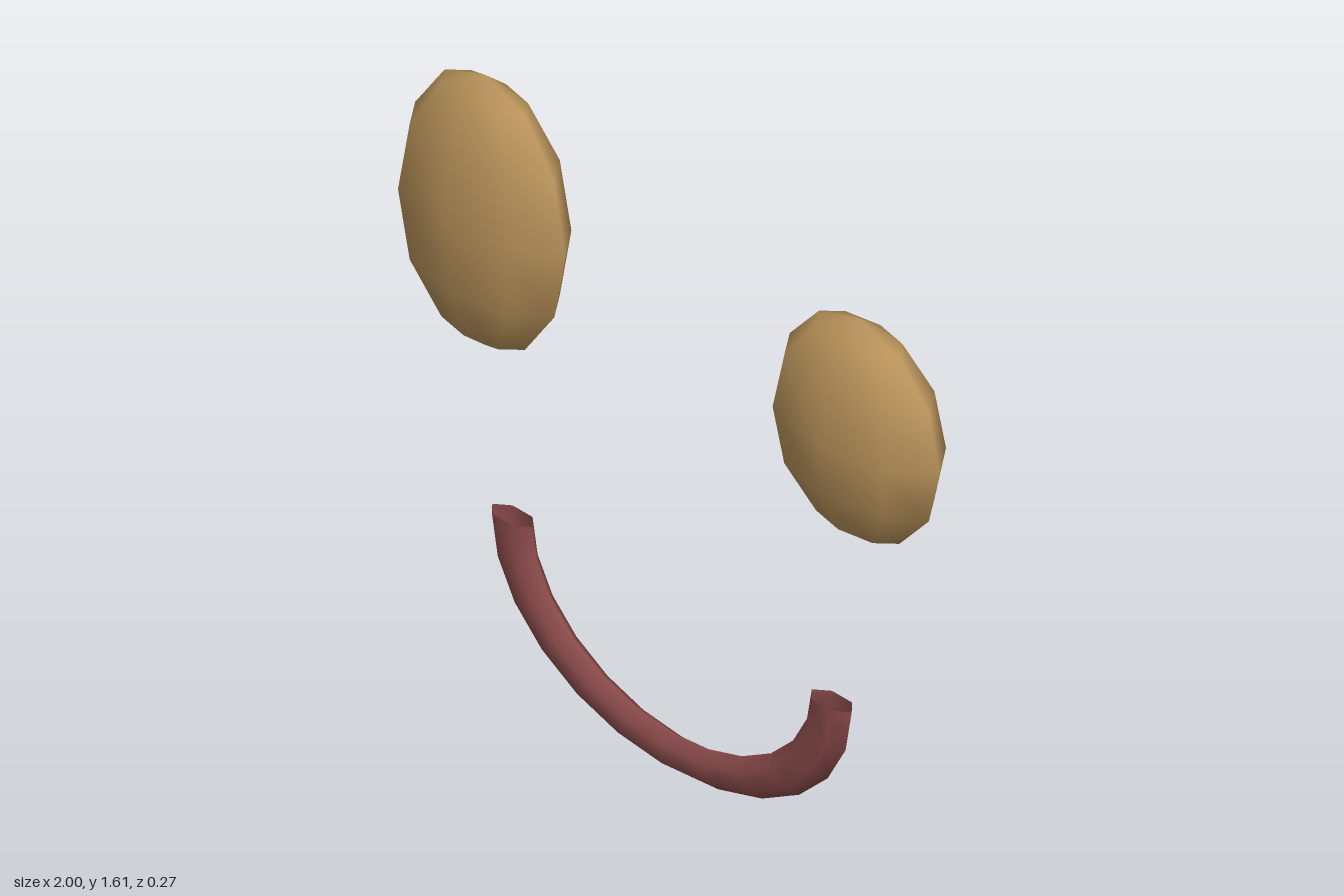
import * as THREE from 'three';

export function createModel() {
  const model = new THREE.Group();
  const eyeMaterial = new THREE.MeshStandardMaterial({ color: 0xb8925a });
  const mouthMaterial = new THREE.MeshStandardMaterial({ color: 0x8a4a4a, side: THREE.DoubleSide });

  // Flattened low-poly eyes, the right one taller
  const eyeGeometry = new THREE.SphereGeometry(1, 8, 6);
  function addEye(name, x, height) {
    const eye = new THREE.Mesh(eyeGeometry, eyeMaterial);
    eye.name = name;
    eye.scale.set(0.3, height, 0.133);
    eye.position.set(x, 1.238, 0);
    model.add(eye);
  }
  addEye('rightEye', -0.7, 0.372);
  addEye('leftEye', 0.7, 0.297);

  // Smiling mouth: an open-ended half ring, squashed in height and depth
  const mouthGeometry = new THREE.TorusGeometry(1, 0.125, 6, 12, Math.PI);
  mouthGeometry.rotateZ(Math.PI);
  const mouth = new THREE.Mesh(mouthGeometry, mouthMaterial);
  mouth.name = 'mouth';
  mouth.scale.set(0.597, 0.391, 0.298);
  mouth.position.y = 0.44;
  model.add(mouth);

  return model;
}
